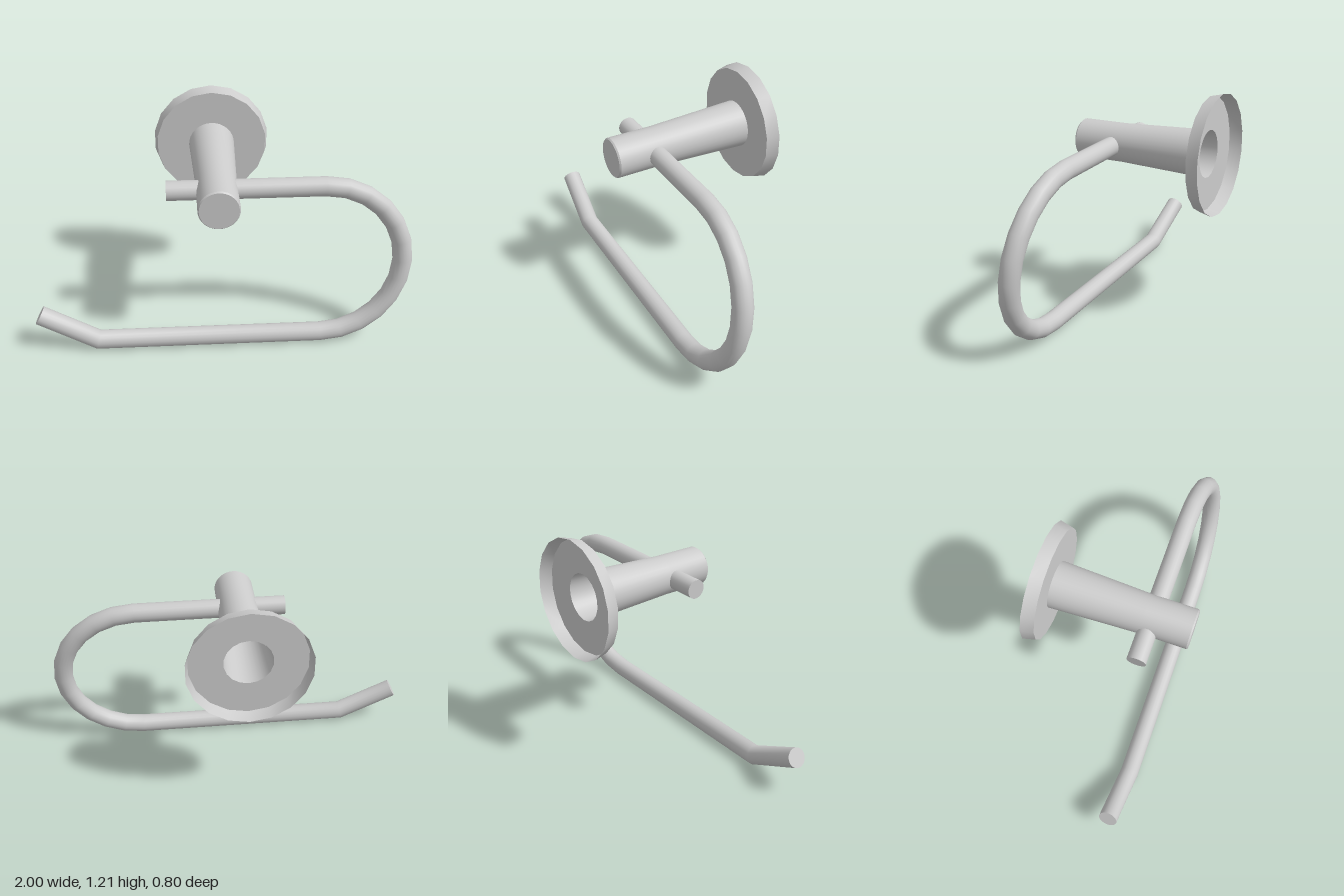
import * as THREE from 'three';
import { toCreasedNormals } from 'three/addons/utils/BufferGeometryUtils.js';

const material = new THREE.MeshStandardMaterial({ color: 0xcccccc, side: THREE.DoubleSide });

// Revolve a [radius, z] profile around the z axis
function turned(name, profile, sides) {
  const points = profile.map(([r, z]) => new THREE.Vector2(r, z));
  const geometry = new THREE.LatheGeometry(points, sides).rotateX(Math.PI / 2);
  const mesh = new THREE.Mesh(toCreasedNormals(geometry, 0.6), material);
  mesh.name = name;
  mesh.position.set(-0.03, 0.897, 0);
  return mesh;
}

// Sweep a round section along a flat path, with mitred corners and closed ends
function sweptRod(path, radius, sides) {
  const positions = [], index = [];
  const last = path.length - 1;
  path.forEach((p, i) => {
    const before = p.clone().sub(path[Math.max(i - 1, 0)]).normalize();
    const after = path[Math.min(i + 1, last)].clone().sub(p).normalize();
    const tangent = before.clone().add(after).normalize();
    const along = i === 0 ? after : before;
    const mitre = 1 / tangent.dot(along);
    for (let j = 0; j < sides; j++) {
      const a = (j / sides) * Math.PI * 2;
      const offset = Math.cos(a) * radius * mitre;
      positions.push(p.x - tangent.y * offset, p.y + tangent.x * offset, Math.sin(a) * radius);
      if (i < last) {
        const k = (j + 1) % sides;
        const a0 = i * sides + j, a1 = i * sides + k;
        index.push(a0, a1, a0 + sides, a1, a1 + sides, a0 + sides);
      }
    }
  });
  // End caps as fans
  for (let j = 1; j < sides - 1; j++) {
    const end = last * sides;
    index.push(0, j + 1, j, end, end + j, end + j + 1);
  }
  const geometry = new THREE.BufferGeometry();
  geometry.setAttribute('position', new THREE.Float32BufferAttribute(positions, 3));
  geometry.setIndex(index);
  return toCreasedNormals(geometry, 0.6);
}

export function createModel() {
  const group = new THREE.Group();
  group.name = 'towelRing';

  // Wall plate: thin flared dish, open at the back and around the post
  group.add(turned('wallPlate', [[0.318, -0.402], [0.302, -0.335], [0.125, -0.335]], 18));

  // Hollow post, tapered towards the front, with a small chamfer
  group.add(turned('post', [
    [0.125, -0.335], [0.105, 0.15], [0.105, 0.394], [0.099, 0.402], [0, 0.402],
  ], 32));

  // Hanging rod: straight top bar, half-circle, bottom bar, upturned tip
  const bend = 0.426;
  const path = [new THREE.Vector2(-0.285, 2 * bend)];
  for (let i = 0; i <= 12; i++) {
    const a = Math.PI / 2 - (i / 12) * Math.PI;
    path.push(new THREE.Vector2(0.523 + bend * Math.cos(a), bend + bend * Math.sin(a)));
  }
  path.push(new THREE.Vector2(-0.675, 0), new THREE.Vector2(-0.977, 0.163));
  const rod = new THREE.Mesh(sweptRod(path, 0.051, 20), material);
  rod.name = 'hangingRod';
  rod.position.set(0, 0.051, 0.295);
  rod.rotation.x = -0.13; // bottom leans forward
  group.add(rod);

  return group;
}
